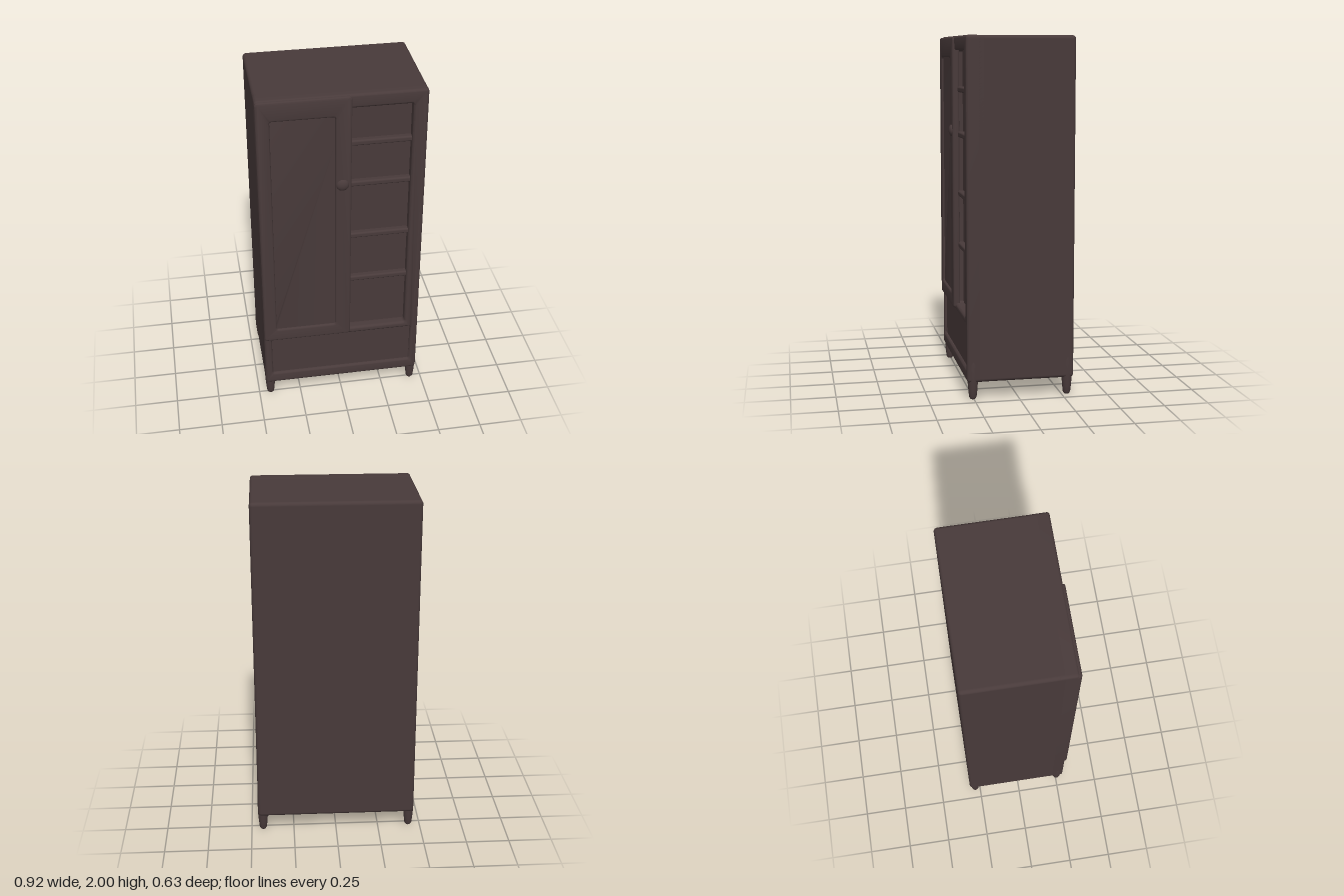
import * as THREE from 'three';
import { RoundedBoxGeometry } from 'three/addons/geometries/RoundedBoxGeometry.js';
import { toCreasedNormals } from 'three/addons/utils/BufferGeometryUtils.js';

// Rounded rectangle traced into a Shape or Path
function roundRect(path, x0, x1, y0, y1, r) {
  path.moveTo(x0 + r, y0);
  path.lineTo(x1 - r, y0);
  path.quadraticCurveTo(x1, y0, x1, y0 + r);
  path.lineTo(x1, y1 - r);
  path.quadraticCurveTo(x1, y1, x1 - r, y1);
  path.lineTo(x0 + r, y1);
  path.quadraticCurveTo(x0, y1, x0, y1 - r);
  path.lineTo(x0, y0 + r);
  path.quadraticCurveTo(x0, y0, x0 + r, y0);
  return path;
}

// Softly bevelled frame between z0 and z1; each rectangle is [x0, x1, y0, y1]
function frame(outer, holes, z0, z1, bevel) {
  const shape = roundRect(new THREE.Shape(), ...outer, 0.02);
  for (const h of holes) shape.holes.push(roundRect(new THREE.Path(), ...h, 0.012));
  const g = new THREE.ExtrudeGeometry(shape, {
    depth: z1 - z0 - 2 * bevel, bevelThickness: bevel, bevelSize: bevel,
    bevelOffset: -bevel, bevelSegments: 4, curveSegments: 5,
  });
  g.translate(0, 0, z0 + bevel);
  return toCreasedNormals(g, 0.7);
}

// Rounded box given by its limits
function block(x0, x1, y0, y1, z0, z1, r) {
  const g = new RoundedBoxGeometry(x1 - x0, y1 - y0, z1 - z0, 4, r);
  g.translate((x0 + x1) / 2, (y0 + y1) / 2, (z0 + z1) / 2);
  return g;
}

export function createModel() {
  const wood = new THREE.MeshStandardMaterial({ color: 0x483a3a });
  wood.name = 'dark wood';
  const model = new THREE.Group();
  model.name = 'wardrobe';
  const add = (name, geometry) => {
    const mesh = new THREE.Mesh(geometry, wood);
    mesh.name = name;
    model.add(mesh);
    return mesh;
  };

  // Carcass and front face frame with shelf and drawer openings
  add('carcass', block(-0.46, 0.46, 0.1, 2, -0.315, 0.24, 0.02));
  add('faceFrame', frame([-0.46, 0.46, 0.1, 2],
    [[0.03, 0.38, 0.46, 1.92], [-0.415, 0.415, 0.17, 0.42]], 0.18, 0.29, 0.014));
  add('drawerPanel', block(-0.43, 0.43, 0.16, 0.43, 0.22, 0.275, 0.005));

  // Door on the model's right, with a recessed panel
  add('doorFrame', frame([-0.46, 0.05, 0.43, 1.995], [[-0.385, -0.04, 0.51, 1.88]], 0.262, 0.302, 0.012));
  add('doorPanel', block(-0.4, -0.02, 0.5, 1.9, 0.25, 0.284, 0.004));

  // Open shelves
  for (const y of [0.805, 1.105, 1.445, 1.7]) {
    add('shelf', block(0.03, 0.39, y - 0.016, y + 0.016, 0.2, 0.272, 0.01));
  }

  // Round door knob
  const knob = add('knob', new THREE.SphereGeometry(0.036, 24, 16));
  knob.scale.z = 0.6;
  knob.position.set(0, 1.465, 0.296);

  // Tapered round-ended feet merging into corner posts
  const profile = [[0, 0], [0.014, 0.003], [0.021, 0.014], [0.025, 0.05], [0.029, 0.1], [0.03, 0.13], [0.03, 0.2], [0.022, 0.27], [0, 0.28]]
    .map(([x, y]) => new THREE.Vector2(x, y));
  for (const x of [-1, 1]) {
    for (const z of [-0.28, 0.256]) {
      const leg = add('leg', new THREE.LatheGeometry(profile, 20));
      leg.position.set(x * 0.432, 0, z);
    }
  }
  return model;
}
